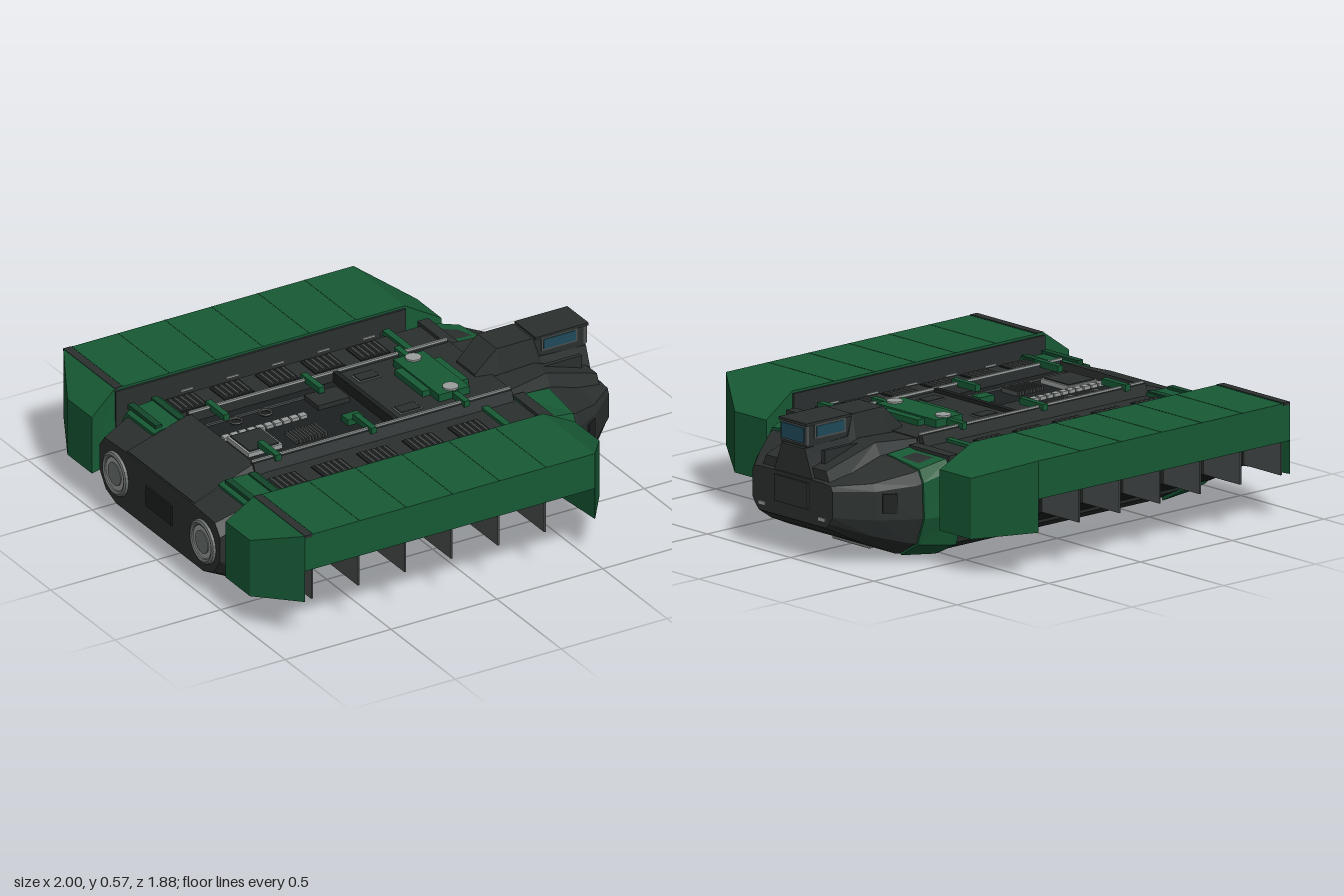
import * as THREE from 'three';

const mat = (color) => new THREE.MeshStandardMaterial({ color, flatShading: true });
const M = {
  dark: mat(0x2b302f), black: mat(0x1d2120), green: mat(0x175a35), deep: mat(0x13472b),
  steel: mat(0x9aa09e), grey: mat(0x4a4f4e), plate: mat(0x6c7371), glass: mat(0x1f4a5a),
};

function add(parent, geo, material, name, x = 0, y = 0, z = 0) {
  const m = new THREE.Mesh(geo, material);
  m.name = name;
  m.position.set(x, y, z);
  parent.add(m);
  return m;
}
// box given by its limits
const box = (p, name, m, x0, x1, y0, y1, z0, z1) =>
  add(p, new THREE.BoxGeometry(x1 - x0, y1 - y0, z1 - z0), m, name, (x0 + x1) / 2, (y0 + y1) / 2, (z0 + z1) / 2);

// skin over convex [z, y] rings placed along x (bottom, +z side, top, -z side)
function loft(sections) {
  const v = [];
  const P = (i, j) => { const r = sections[i].ring, q = r[j % r.length]; return [sections[i].x, q[1], q[0]]; };
  const n = sections[0].ring.length, last = sections.length - 1;
  for (let i = 0; i < last; i++) for (let j = 0; j < n; j++) {
    const a = P(i, j), b = P(i, j + 1), c = P(i + 1, j), d = P(i + 1, j + 1);
    v.push(...a, ...c, ...b, ...b, ...c, ...d);
  }
  for (let j = 1; j < n - 1; j++) {
    v.push(...P(0, 0), ...P(0, j), ...P(0, j + 1));
    v.push(...P(last, 0), ...P(last, j + 1), ...P(last, j));
  }
  const g = new THREE.BufferGeometry();
  g.setAttribute('position', new THREE.Float32BufferAttribute(v, 3));
  g.computeVertexNormals();
  return g;
}
const mirrorRing = (h) => [...h, ...h.slice().reverse().map(([z, y]) => [-z, y])];
const quad = (z0, z1, y0, y1, zTop0 = z0, zTop1 = z1) => [[z0, y0], [z1, y0], [zTop1, y1], [zTop0, y1]];

// half cross-sections of the hull
const STATIONS = [
  { x: -0.985, half: [[0.34, 0.10], [0.42, 0.13], [0.47, 0.20], [0.47, 0.31], [0.43, 0.36], [0.25, 0.37]] },
  { x: -0.83, half: [[0.36, 0.03], [0.46, 0.08], [0.50, 0.20], [0.49, 0.38], [0.46, 0.42], [0.25, 0.42]] },
  { x: -0.65, half: [[0.36, 0.015], [0.47, 0.07], [0.51, 0.20], [0.50, 0.39], [0.47, 0.43], [0.25, 0.43]] },
  { x: 0.55, half: [[0.36, 0.015], [0.47, 0.07], [0.51, 0.20], [0.50, 0.39], [0.47, 0.43], [0.25, 0.43]] },
  { x: 0.72, half: [[0.32, 0.03], [0.42, 0.09], [0.46, 0.20], [0.455, 0.34], [0.43, 0.39], [0.25, 0.42]] },
  { x: 0.86, half: [[0.27, 0.09], [0.33, 0.13], [0.36, 0.20], [0.36, 0.32], [0.34, 0.35], [0.22, 0.37]] },
  { x: 0.99, half: [[0.20, 0.16], [0.22, 0.18], [0.24, 0.21], [0.24, 0.32], [0.23, 0.34], [0.18, 0.345]] },
];
function halfAt(x) {
  let i = 0;
  while (i < STATIONS.length - 2 && STATIONS[i + 1].x < x) i++;
  const a = STATIONS[i], b = STATIONS[i + 1], t = (x - a.x) / (b.x - a.x);
  return a.half.map(([z, y], k) => [z + (b.half[k][0] - z) * t, y + (b.half[k][1] - y) * t]);
}
// plating that hugs one side of the hull, standing proud by d
function plating(xs, d) {
  return loft(xs.map((x) => ({
    x, ring: halfAt(x).map(([z, y], k) => [z + (k < 5 ? d : 0), y + d * [-0.8, -0.5, 0, 0.5, 1, 1][k]]),
  })));
}

function buildPod(parent) {
  const pod = new THREE.Group();
  pod.name = 'sidePod';
  parent.add(pod);
  // canopy open at the bottom, with a wall set back behind the ribs
  box(pod, 'podRoof', M.green, -0.87, 0.5, 0.488, 0.5, 0.54, 0.94);
  box(pod, 'podSkirt', M.green, -0.87, 0.5, 0.34, 0.5, 0.928, 0.94);
  box(pod, 'podInnerWall', M.dark, -0.87, 0.5, 0.29, 0.49, 0.53, 0.54);
  box(pod, 'podBackWall', M.green, -0.84, 0.27, 0.2, 0.3, 0.695, 0.705);
  box(pod, 'podBackRail', M.grey, -0.84, 0.27, 0.295, 0.488, 0.69, 0.7);
  box(pod, 'podRearStrip', M.dark, -0.87, -0.835, 0.49, 0.502, 0.54, 0.941);
  // sloping apron between hull and wall
  const apron = [[0.49, 0.09], [0.705, 0.197], [0.7, 0.205], [0.49, 0.1]];
  add(pod, loft([{ x: -0.84, ring: apron }, { x: 0.27, ring: apron }]), M.black, 'podApron');
  // tapered end caps
  const full = quad(0.53, 0.94, 0.17, 0.5, 0.54), small = quad(0.52, 0.71, 0.155, 0.41);
  full[1][1] = 0.2;
  add(pod, loft([{ x: 0.5, ring: full }, { x: 0.66, ring: small }]), M.green, 'podFrontCap');
  add(pod, loft([{ x: -0.99, ring: small }, { x: -0.87, ring: full }]), M.green, 'podRearCap');
  // ribs and roof seams
  for (let i = 0; i < 6; i++) {
    const x = -0.83 + i * 0.22;
    box(pod, 'podRib', M.grey, x - 0.004, x + 0.004, 0.2, 0.488, 0.7, 0.93);
    box(pod, 'podWallFrame', M.dark, x - 0.012, x + 0.012, 0.2, 0.33, 0.7, 0.712);
    box(pod, 'podSeam', M.deep, x - 0.002, x + 0.002, 0.49, 0.501, 0.54, 0.94);
  }
}

function buildHullSide(parent) {
  const side = new THREE.Group();
  side.name = 'hullSide';
  parent.add(side);
  // green plating at the rear and bow shoulders
  add(side, plating([-0.86, -0.83, -0.69], 0.012), M.green, 'rearShoulder');
  add(side, plating([0.53, 0.55, 0.7], 0.008), M.green, 'bowShoulder');
  for (const x of [-0.84, -0.73]) box(side, 'rearShoulderStrap', M.deep, x, x + 0.03, 0.42, 0.445, 0.27, 0.49);
  box(side, 'bowShoulderStrap', M.dark, 0.53, 0.58, 0.41, 0.445, 0.25, 0.49);
  box(side, 'deckStrap', M.green, 0.37, 0.4, 0.42, 0.443, 0.27, 0.5);
  // deck vents with slats
  for (let i = 0; i < 5; i++) {
    const x = -0.62 + i * 0.215;
    box(side, 'ventTray', M.black, x - 0.07, x + 0.07, 0.425, 0.435, 0.335, 0.455);
    for (let k = 0; k < 5; k++) box(side, 'ventSlat', M.grey, x - 0.056 + k * 0.026, x - 0.046 + k * 0.026, 0.43, 0.442, 0.345, 0.445);
    box(side, 'deckHandle', M.steel, x + 0.04, x + 0.1, 0.42, 0.428, 0.503, 0.51);
  }
  // bay coaming and rail
  const c = quad(0.24, 0.285, 0.41, 0.475, 0.24, 0.26);
  add(side, loft([{ x: -0.7, ring: c }, { x: 0.52, ring: c }]), M.dark, 'bayCoaming');
  box(side, 'bayRail', M.steel, -0.7, 0.52, 0.473, 0.483, 0.24, 0.25);
  for (const x of [-0.59, -0.14, 0.3]) box(side, 'bayClamp', M.green, x - 0.013, x + 0.013, 0.465, 0.492, 0.13, 0.275);
  // side equipment between apron and bow shoulder
  box(side, 'sidePanel', M.grey, 0.28, 0.33, 0.1, 0.33, 0.49, 0.52);
  box(side, 'sideLocker', M.deep, 0.34, 0.5, 0.15, 0.34, 0.49, 0.515);
  box(side, 'sidePost', M.grey, 0.37, 0.395, 0.1, 0.42, 0.5, 0.52);
  for (let i = 0; i < 4; i++) add(side, new THREE.CylinderGeometry(0.012, 0.012, 0.01, 8).rotateX(Math.PI / 2), M.grey, 'sidePort', 0.44, 0.19 + i * 0.04, 0.515);
  // rear thruster
  add(side, new THREE.TorusGeometry(0.083, 0.014, 8, 24).rotateY(Math.PI / 2), M.plate, 'thrusterRing', -0.985, 0.235, 0.34);
  add(side, new THREE.CylinderGeometry(0.076, 0.076, 0.02, 24).rotateZ(Math.PI / 2), M.steel, 'thrusterDisc', -0.98, 0.235, 0.34);
  add(side, new THREE.CylinderGeometry(0.05, 0.05, 0.024, 20).rotateZ(Math.PI / 2), M.plate, 'thrusterHub', -0.982, 0.235, 0.34);
  // bow buttress, lamp and vent
  add(side, loft([
    { x: 0.5, ring: quad(0.1, 0.28, 0.38, 0.46, 0.1, 0.24) },
    { x: 0.72, ring: quad(0.1, 0.27, 0.35, 0.47, 0.1, 0.2) },
    { x: 0.97, ring: quad(0.1, 0.22, 0.3, 0.39, 0.1, 0.18) },
  ]), M.dark, 'bowButtress');
  box(side, 'bowFin', M.dark, 0.7, 0.93, 0.36, 0.46, 0.11, 0.13);
  box(side, 'bowLamp', M.steel, 0.98, 0.997, 0.185, 0.2, 0.16, 0.2);
  box(side, 'bowVent', M.black, 0.78, 0.84, 0.23, 0.31, 0.375, 0.4).rotation.y = 0.62;
}

export function createModel() {
  const root = new THREE.Group();
  root.name = 'amphibiousCarrier';

  add(root, loft(STATIONS.map(({ x, half }) => ({ x, ring: mirrorRing(half) }))), M.dark, 'hull');
  box(root, 'bellyPlate', M.plate, -0.65, 0.67, 0, 0.02, -0.11, 0.11);
  box(root, 'rearHatch', M.black, -0.992, -0.97, 0.2, 0.29, -0.1, 0.1);

  // both sides
  for (const s of [1, -1]) {
    const half = new THREE.Group();
    half.name = s > 0 ? 'leftHalf' : 'rightHalf';
    half.scale.z = s;
    root.add(half);
    buildPod(half);
    buildHullSide(half);
  }

  // rear and forward decks around the bay
  add(root, loft([
    { x: -0.98, ring: quad(-0.3, 0.3, 0.3, 0.375, -0.26, 0.26) },
    { x: -0.69, ring: quad(-0.29, 0.29, 0.4, 0.47, -0.25, 0.25) },
  ]), M.dark, 'rearDeck');
  box(root, 'midDeck', M.dark, -0.005, 0.53, 0.42, 0.465, -0.245, 0.245);
  box(root, 'bayDivider', M.black, -0.022, 0, 0.42, 0.48, -0.24, 0.24);
  for (const z of [-0.16, 0.16]) {
    box(root, 'deckHatchRim', M.plate, 0.035, 0.14, 0.46, 0.468, z - 0.034, z + 0.034);
    box(root, 'deckHatch', M.dark, 0.042, 0.133, 0.46, 0.472, z - 0.028, z + 0.028);
  }

  // bay equipment
  box(root, 'bayFloor', M.black, -0.69, -0.02, 0.42, 0.434, -0.24, 0.24);
  box(root, 'bayHatchRim', M.steel, -0.65, -0.49, 0.43, 0.453, -0.03, 0.14);
  box(root, 'bayHatch', M.dark, -0.64, -0.5, 0.43, 0.458, -0.02, 0.13);
  for (let k = 0; k < 10; k++) {
    box(root, 'baySlat', M.grey, -0.425 + k * 0.015, -0.417 + k * 0.015, 0.43, 0.452, 0.05, 0.145);
    box(root, 'bayConnector', M.steel, -0.66 + k * 0.04, -0.628 + k * 0.04, 0.43, 0.448, -0.06, -0.03);
  }
  box(root, 'bayConsole', M.dark, -0.2, -0.05, 0.43, 0.455, -0.17, -0.06);
  box(root, 'bayGreenBox', M.green, -0.165, -0.09, 0.43, 0.46, 0.06, 0.115);
  for (const z of [-0.18, 0.18]) box(root, 'bayTrim', M.grey, -0.66, -0.05, 0.43, 0.442, z - 0.006, z + 0.006);
  for (const x of [-0.54, -0.4]) add(root, new THREE.TorusGeometry(0.025, 0.006, 6, 12).rotateX(Math.PI / 2), M.grey, 'bayRing', x, 0.445, -0.14);

  // green mount plate with round caps
  box(root, 'mountPlate', M.green, 0.19, 0.405, 0.46, 0.49, -0.11, 0.11);
  box(root, 'mountCross', M.green, 0.225, 0.37, 0.46, 0.497, -0.18, 0.18);
  for (const z of [-0.145, 0.145]) add(root, new THREE.CylinderGeometry(0.033, 0.033, 0.008, 20), M.steel, 'mountCap', 0.3, 0.5, z);

  // cab on its neck
  add(root, loft([
    { x: 0.46, ring: quad(-0.09, 0.09, 0.42, 0.475, -0.07, 0.07) },
    { x: 0.56, ring: quad(-0.11, 0.11, 0.38, 0.568, -0.075, 0.075) },
    { x: 0.73, ring: quad(-0.12, 0.12, 0.34, 0.568, -0.075, 0.075) },
    { x: 0.76, ring: quad(-0.12, 0.12, 0.34, 0.48, -0.08, 0.08) },
    { x: 0.985, ring: quad(-0.12, 0.12, 0.33, 0.465, -0.07, 0.07) },
  ]), M.dark, 'cabNeck');
  box(root, 'cab', M.dark, 0.72, 0.98, 0.47, 0.565, -0.075, 0.075);
  box(root, 'cabRoof', M.dark, 0.74, 0.99, 0.56, 0.572, -0.083, 0.083);
  box(root, 'cabFrontFrame', M.grey, 0.97, 0.985, 0.48, 0.56, -0.077, 0.077);
  box(root, 'cabFrontWindow', M.glass, 0.97, 0.99, 0.488, 0.552, -0.068, 0.068);
  box(root, 'cabSideFrame', M.grey, 0.77, 0.94, 0.5, 0.56, -0.079, 0.079);
  box(root, 'cabSideWindow', M.glass, 0.78, 0.93, 0.508, 0.552, -0.082, 0.082);
  box(root, 'bowPanel', M.dark, 0.97, 1, 0.22, 0.33, -0.1, 0.1);
  return root;
}
